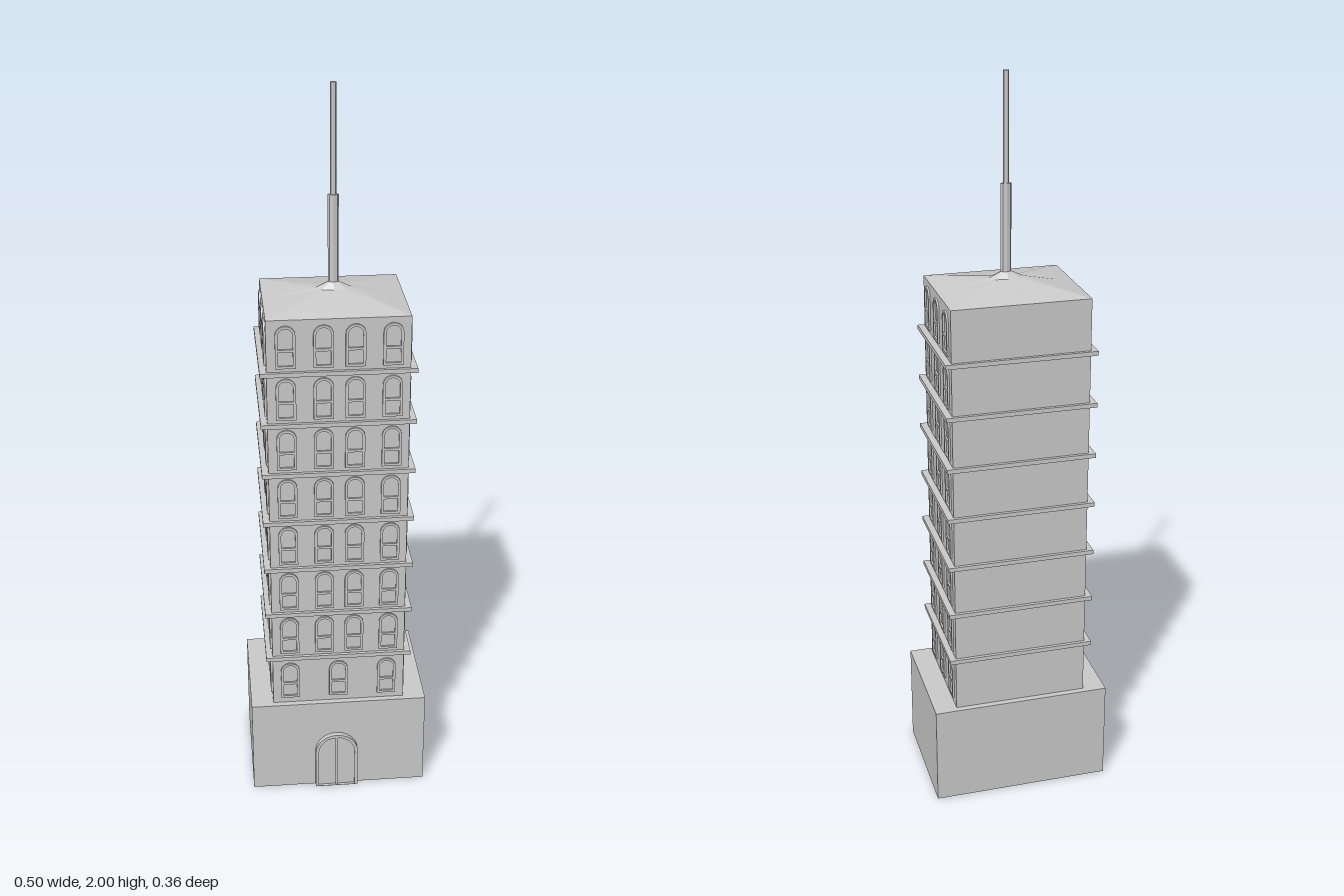
import * as THREE from 'three';

const material = new THREE.MeshStandardMaterial({ color: 0xcccccc, flatShading: true, side: THREE.DoubleSide });
const CZ = -0.008; // tower axis in z
const HALF_W = 0.185, HALF_D = 0.155;
const FLOOR = 0.144, FIRST_LEDGE = 0.437;

function add(parent, name, geometry, x = 0, y = 0, z = 0) {
  const mesh = new THREE.Mesh(geometry, material);
  mesh.name = name;
  mesh.position.set(x, y, z);
  parent.add(mesh);
  return mesh;
}

function box(parent, name, w, h, d, x, y, z) {
  return add(parent, name, new THREE.BoxGeometry(w, h, d), x, y, z);
}

// Round-headed outline between y0 and y1
function arch(Type, w, y0, y1) {
  const r = w / 2, s = new Type();
  s.moveTo(-r, y0);
  s.lineTo(r, y0);
  s.lineTo(r, y1 - r);
  s.absarc(0, y1 - r, r, 0, Math.PI, false);
  s.lineTo(-r, y0);
  return s;
}

function rectHole(w, y0, y1) {
  const r = w / 2;
  return new THREE.Path([[-r, y0], [r, y0], [r, y1], [-r, y1]].map(p => new THREE.Vector2(...p)));
}

// Arched window frame with a cross bar, standing proud of the wall
function windowFrame(w, h, depth) {
  const t = 0.007, bar = h * 0.42;
  const s = arch(THREE.Shape, w, 0, h);
  s.holes.push(rectHole(w - 2 * t, t, bar - t / 2), arch(THREE.Path, w - 2 * t, bar + t / 2, h - t));
  return new THREE.ExtrudeGeometry(s, { depth, bevelEnabled: false, curveSegments: 6 });
}

// Hipped roof swept through rings, flaring up to the spire
function roofGeometry() {
  const ring = (rx, rz, y, square) => Array.from({ length: 8 }, (_, i) => {
    const a = i * Math.PI / 4;
    const f = v => (square ? Math.sign(Math.round(v * 10)) : v);
    return [rx * f(Math.cos(a)), y, -rz * f(Math.sin(a))];
  });
  const rings = [
    ring(HALF_W, HALF_D, 1.447, true),
    ring(0.047, 0.026, 1.474, false),
    ring(0.014, 0.009, 1.49, false),
  ];
  const pos = [];
  for (let r = 0; r < 2; r++) {
    for (let i = 0; i < 8; i++) {
      const j = (i + 1) % 8;
      const a = rings[r][i], b = rings[r][j], c = rings[r + 1][j], d = rings[r + 1][i];
      pos.push(...a, ...b, ...c, ...a, ...c, ...d);
    }
  }
  const g = new THREE.BufferGeometry();
  g.setAttribute('position', new THREE.Float32BufferAttribute(pos, 3));
  g.computeVertexNormals();
  return g;
}

export function createModel() {
  const model = new THREE.Group();
  model.name = 'tower';

  // Base block and shaft
  box(model, 'base', 0.495, 0.285, 0.344, 0, 0.1425, CZ);
  box(model, 'shaft', HALF_W * 2, 1.164, HALF_D * 2, 0, 0.865, CZ);

  // Ledges between the floors
  for (let i = 0; i < 7; i++) {
    box(model, 'ledge', 0.405, 0.012, 0.328, 0, FIRST_LEDGE + i * FLOOR, CZ);
  }

  // Windows: front and both sides, back left plain
  const tall = windowFrame(0.052, 0.115, 0.006);
  for (let i = 0; i < 8; i++) {
    const y = i === 0 ? 0.303 : FIRST_LEDGE + (i - 1) * FLOOR + 0.016;
    const xs = i === 0 ? [-0.136, 0, 0.136] : [-0.136, -0.039, 0.043, 0.139];
    for (const x of xs) add(model, 'frontWindow', tall, x, y, CZ + HALF_D - 0.001);
    for (const side of [-1, 1]) {
      for (const z of [-0.104, 0, 0.104]) {
        const w = add(model, 'sideWindow', tall, side * (HALF_W - 0.001), y, CZ + z);
        w.rotation.y = side * Math.PI / 2;
      }
    }
  }

  // Arched double door
  const door = new THREE.Group();
  door.name = 'door';
  door.position.set(-0.007, 0, 0.16);
  model.add(door);
  const surround = arch(THREE.Shape, 0.122, 0, 0.18);
  surround.holes.push(arch(THREE.Path, 0.104, 0.001, 0.171));
  add(door, 'doorFrame', new THREE.ExtrudeGeometry(surround, { depth: 0.018, bevelEnabled: false, curveSegments: 6 }));
  add(door, 'doorPanel', new THREE.ExtrudeGeometry(arch(THREE.Shape, 0.106, 0, 0.172),
    { depth: 0.01, bevelEnabled: false, curveSegments: 6 }));
  box(door, 'doorMullion', 0.007, 0.172, 0.012, 0, 0.086, 0.009);

  // Roof and two-stage spire, flattened in depth
  add(model, 'roof', roofGeometry(), 0, 0, CZ);
  const spire = [['spireLower', 0.014, 1.475, 1.72], ['spireUpper', 0.008, 1.71, 2]];
  for (const [name, r, y0, y1] of spire) {
    const m = add(model, name, new THREE.CylinderGeometry(r, r, y1 - y0, 8), 0, (y0 + y1) / 2, CZ);
    m.scale.z = 0.6;
  }
  return model;
}
